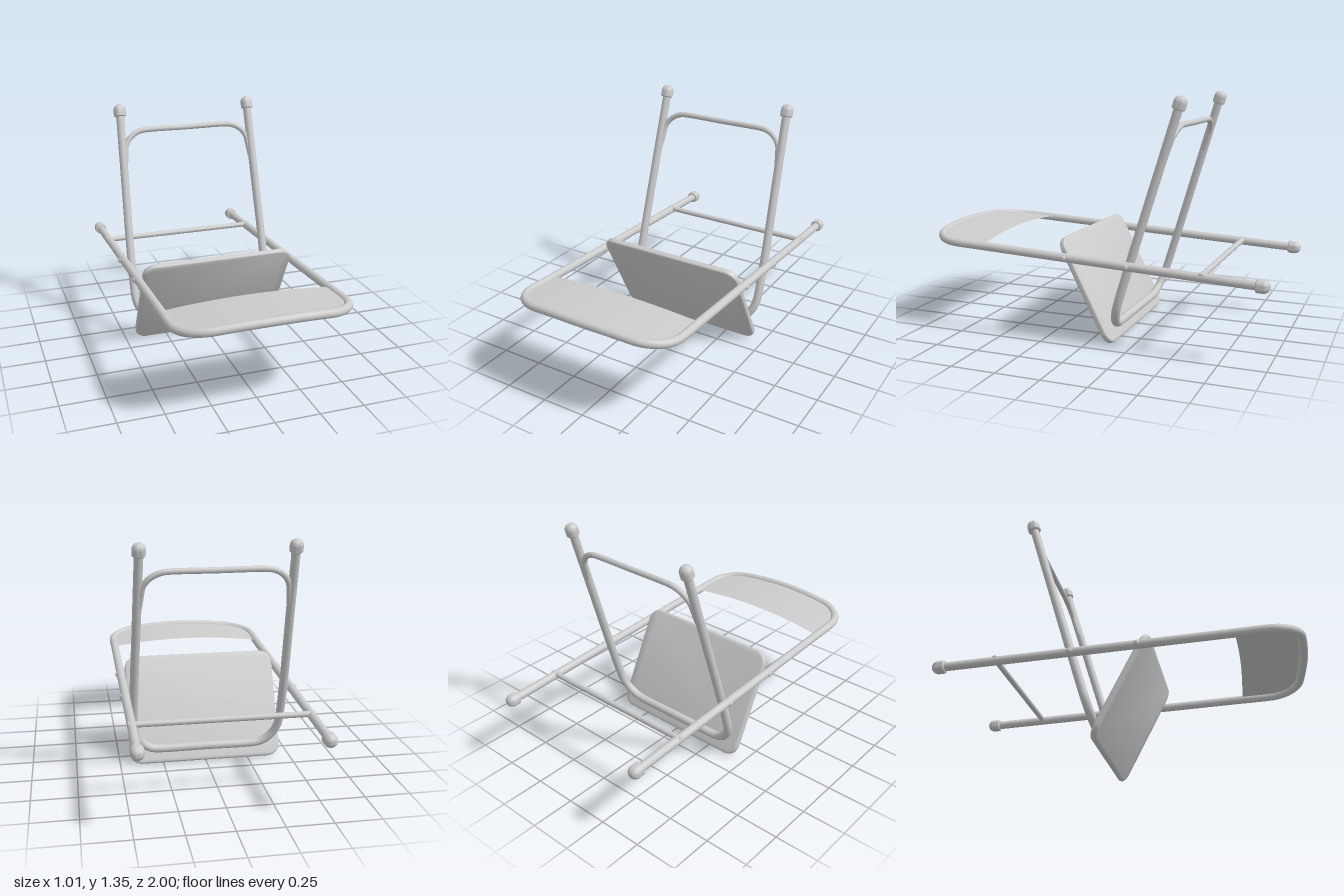
import * as THREE from 'three';
import { toCreasedNormals } from 'three/addons/utils/BufferGeometryUtils.js';

const metal = new THREE.MeshStandardMaterial({ color: 0xcccccc });
const sheet = new THREE.MeshStandardMaterial({ color: 0xcccccc, side: THREE.DoubleSide });
const V = (x, y, z) => new THREE.Vector3(x, y, z);

const railX = 0.47;
// Height of the long frame: a gentle slope, arched across x near the backrest
const railY = (z) => 0.479 + 0.048 * z;
const arch = (x, z) => railY(z) + 0.03 * (1 - (x / railX) ** 2);
// Depth of the leaning leg frame at a given height
const legZ = (y) => -0.13 - 0.306 * (y - 0.09);

function add(group, name, geometry, material = metal) {
  const mesh = new THREE.Mesh(geometry, material);
  mesh.name = name;
  group.add(mesh);
  return mesh;
}

// Smooth curve through the +x half (end to middle) and its mirror image
function mirroredCurve(half) {
  const other = half.filter((p) => p.x > 0).reverse().map((p) => V(-p.x, p.y, p.z));
  return new THREE.CatmullRomCurve3([...half, ...other], false, 'centripetal');
}

// Quarter-ellipse corner, handing each (a, b) pair to a point maker
function corner(ca, cb, ra, rb, make, n = 6) {
  return Array.from({ length: n + 1 }, (_, i) => {
    const t = (i / n) * Math.PI / 2;
    return make(ca + ra * Math.cos(t), cb + rb * Math.sin(t));
  });
}

// Rubber foot with a domed end, pointing along dir
function foot(group, name, pos, dir) {
  const pts = [new THREE.Vector2(0.001, 0), new THREE.Vector2(0.031, 0), new THREE.Vector2(0.036, 0.005)];
  for (let i = 0; i <= 8; i++) {
    const t = (i / 8) * Math.PI / 2;
    pts.push(new THREE.Vector2(0.036 * Math.cos(t), 0.037 + 0.036 * Math.sin(t)));
  }
  const mesh = add(group, name, toCreasedNormals(new THREE.LatheGeometry(pts, 24), 0.7));
  mesh.position.copy(pos);
  mesh.quaternion.setFromUnitVectors(V(0, 1, 0), dir.clone().normalize());
}

// Horizontal rod along x
function rod(group, name, x, y, z, radius, length) {
  const mesh = add(group, name, new THREE.CylinderGeometry(radius, radius, length, 16));
  mesh.rotation.z = Math.PI / 2;
  mesh.position.set(x, y, z);
}

// Sheet filling the curved end of the frame
function backrestGeometry(half) {
  const curve = new THREE.CatmullRomCurve3(half, false, 'centripetal');
  const rows = 28, cols = 28, pos = [], index = [];
  for (let j = 0; j <= rows; j++) {
    const p = curve.getPoint(j / rows);
    for (let i = 0; i <= cols; i++) {
      const s = (i / cols) * 2 - 1;
      const z = p.z + 0.014 * (1 - s * s) * Math.max(0, 1 - j / 8);
      pos.push(p.x * s, arch(p.x * s, z) + 0.008, z);
      if (i < cols && j < rows) {
        const a = j * (cols + 1) + i, b = a + cols + 1;
        index.push(a, b, a + 1, a + 1, b, b + 1);
      }
    }
  }
  const g = new THREE.BufferGeometry();
  g.setAttribute('position', new THREE.Float32BufferAttribute(pos, 3));
  g.setIndex(index);
  g.computeVertexNormals();
  return g;
}

// Rounded seat slab with soft edges, centred on its origin
function seatGeometry(w, h, r, thick, bevel) {
  const x = w / 2 - bevel, y = h / 2 - bevel;
  const s = new THREE.Shape();
  s.moveTo(-x + r, -y);
  s.lineTo(x - r, -y);
  s.absarc(x - r, -y + r, r, -Math.PI / 2, 0);
  s.absarc(x - r, y - r, r, 0, Math.PI / 2);
  s.absarc(-x + r, y - r, r, Math.PI / 2, Math.PI);
  s.absarc(-x + r, -y + r, r, Math.PI, Math.PI * 1.5);
  const g = new THREE.ExtrudeGeometry(s, {
    depth: thick - 2 * bevel, bevelThickness: bevel, bevelSize: bevel, bevelSegments: 4, curveSegments: 10,
  });
  g.translate(0, 0, bevel - thick / 2);
  return toCreasedNormals(g, 0.7);
}

export function createModel() {
  const chair = new THREE.Group();
  chair.name = 'foldingChair';

  // Long frame: two rails joined by the rounded top of the backrest
  const bend = [
    ...corner(0.27, 0.78, 0.2, 0.178, (x, z) => V(x, arch(x, z), z)),
    V(0.14, arch(0.14, 0.968), 0.968),
    V(0, arch(0, 0.973), 0.973),
  ];
  const rail = [-0.96, -0.4, 0.2, 0.61].map((z) => V(railX, railY(z), z));
  add(chair, 'mainFrame', new THREE.TubeGeometry(mirroredCurve([...rail, ...bend]), 160, 0.024, 16));
  add(chair, 'backrest', backrestGeometry([rail[3], ...bend]), sheet);

  // Leg frame: a U whose rounded bottom lies against the seat
  const leg = [
    V(0.403, 1.31, legZ(1.31)),
    V(0.413, 0.9, legZ(0.9)),
    V(0.423, 0.5, legZ(0.5)),
    ...corner(0.28, -0.27, 0.143, 0.17, (x, b) => V(x, -b - 0.07 + 0.0, legZ(-b - 0.07))).map((p) => p),
    V(0, 0.03, legZ(0.03)),
  ].map((p) => (p.y < 0.45 ? V(p.x, p.y + 0.07, legZ(p.y + 0.07)) : p));
  add(chair, 'legFrame', new THREE.TubeGeometry(mirroredCurve(leg), 160, 0.024, 16));

  // Thin bent brace between the legs
  const brace = [
    V(0.4, 1.0, legZ(1.0) - 0.005),
    ...corner(0.25, 1.08, 0.139, 0.117, (x, y) => V(x, y, legZ(y) - 0.006)),
    V(0, 1.197, legZ(1.197) - 0.006),
  ];
  add(chair, 'legBrace', new THREE.TubeGeometry(mirroredCurve(brace), 100, 0.016, 12));

  // Seat, folded steeply between the rails
  const seat = add(chair, 'seat', seatGeometry(0.89, 0.635, 0.06, 0.036, 0.013));
  seat.position.set(0, 0.292, 0.012);
  seat.rotation.x = 0.474;

  // Cross rod between the rails
  rod(chair, 'crossRod', 0, railY(-0.65) + 0.008, -0.65, 0.016, 0.98);

  // Feet, pivots and rivets on both sides
  for (const side of [1, -1]) {
    const label = side > 0 ? 'left' : 'right';
    foot(chair, label + 'RailFoot', V(side * railX, railY(-0.927), -0.927), V(0, -0.048, -1));
    foot(chair, label + 'LegFoot', V(side * 0.404, 1.283, legZ(1.283)), V(-0.025 * side, 1, -0.306));
    for (const z of [0.11, -0.245]) {
      rod(chair, label + 'Pivot', side * 0.455, railY(z), z, 0.011, 0.05);
      const rivet = add(chair, label + 'Rivet', new THREE.SphereGeometry(0.016, 16, 10));
      rivet.scale.x = 0.6;
      rivet.position.set(side * 0.492, railY(z), z);
    }
  }
  return chair;
}
